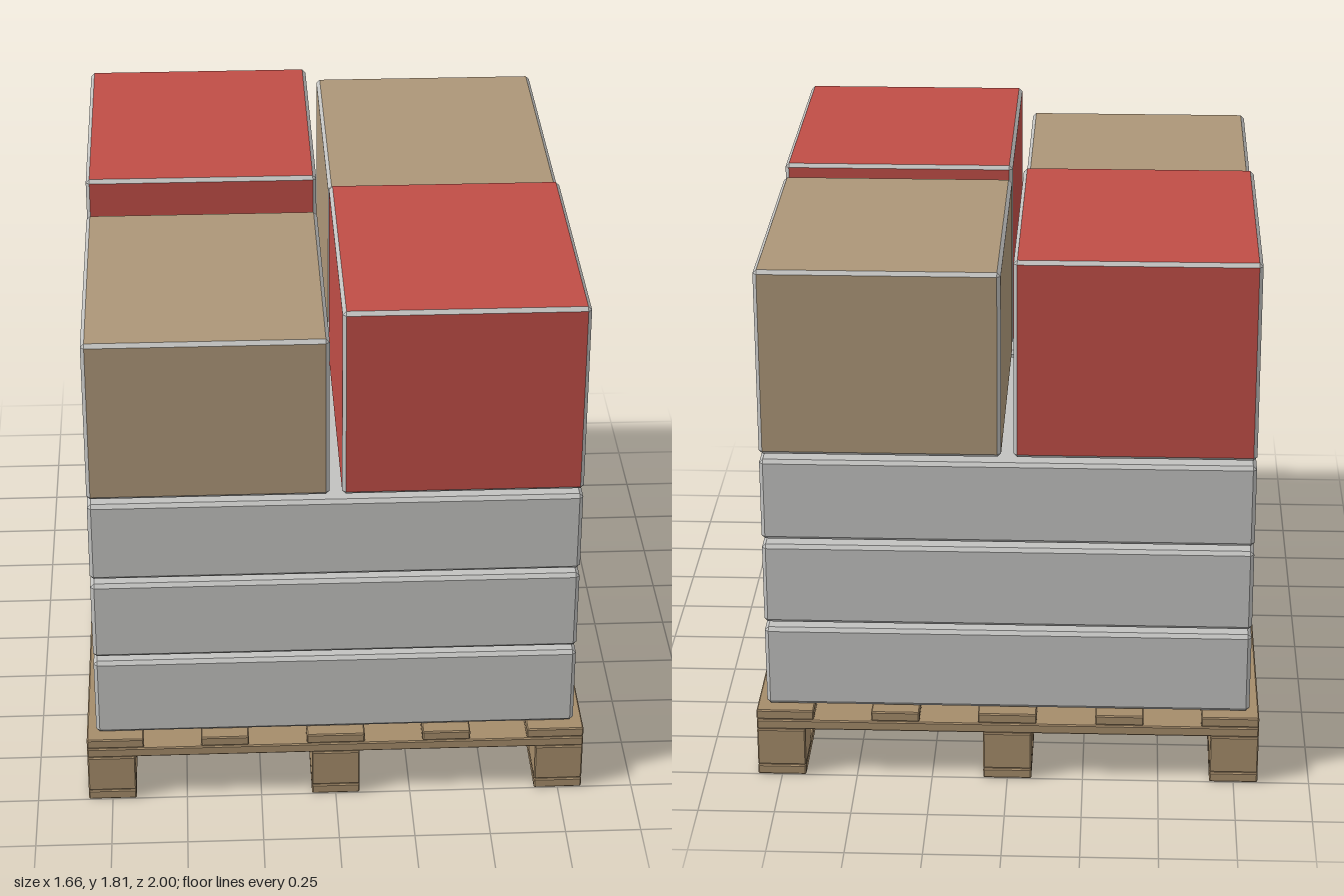
import * as THREE from 'three';

const mat = (name, color) => new THREE.MeshStandardMaterial({ name, color });

// Box with narrow chamfers: group 0 = flat faces, group 1 = chamfers
function chamferBox(size, b) {
  const geo = new THREE.BoxGeometry(...size, 3, 3, 3);
  const p = geo.attributes.position;
  for (let i = 0; i < p.count; i++) {
    const v = [p.getX(i), p.getY(i), p.getZ(i)];
    const outer = v.map((c, k) => Math.abs(c) > size[k] / 2 - 1e-4);
    const n = outer.filter(Boolean).length;
    const inset = [0, 0, b / 2, (b * 2) / 3][n];
    p.setXYZ(i, ...v.map((c, k) => Math.sign(c) * (size[k] / 2 - (outer[k] ? inset : b))));
  }
  const flat = geo.toNonIndexed();
  flat.computeVertexNormals();
  flat.clearGroups();
  // each side is a 3 x 3 grid whose middle cell is the flat face
  for (let s = 0; s < 6; s++) {
    flat.addGroup(s * 54, 24, 1);
    flat.addGroup(s * 54 + 24, 6, 0);
    flat.addGroup(s * 54 + 30, 24, 1);
  }
  return flat;
}

// Adds a box given by its limits on each axis
function addBox(parent, name, [x0, x1], [y0, y1], [z0, z1], face, edge, bevel) {
  const geo = chamferBox([x1 - x0, y1 - y0, z1 - z0], bevel);
  const mesh = new THREE.Mesh(geo, [face, edge]);
  mesh.position.set((x0 + x1) / 2, (y0 + y1) / 2, (z0 + z1) / 2);
  mesh.name = name;
  parent.add(mesh);
}

export function createModel() {
  const wood = mat('palletWood', 0xa58c6a);
  const grey = mat('lightGrey', 0xc1c1bf);
  const red = mat('red', 0xbf4d46);
  const tan = mat('cardboardTan', 0xac9678);

  const model = new THREE.Group();
  model.name = 'loadedPallet';
  const pallet = new THREE.Group();
  pallet.name = 'pallet';
  const load = new THREE.Group();
  load.name = 'load';
  model.add(pallet, load);
  const plank = (name, x, y, z) => addBox(pallet, name, x, y, z, wood, wood, 0.004);

  // Skids with three blocks on each
  for (const x of [[-0.83, -0.67], [-0.08, 0.08], [0.67, 0.83]]) {
    plank('skid', x, [0, 0.034], [-1, 1]);
    for (const z of [[-1, -0.84], [-0.115, 0.115], [0.84, 1]]) {
      plank('block', x, [0.036, 0.167], z);
    }
  }
  // Cross boards
  for (const z of [[-1, -0.84], [-0.08, 0.08], [0.84, 1]]) {
    plank('crossBoard', [-0.83, 0.83], [0.169, 0.203], z);
  }
  // Deck boards, wide and narrow in turn
  for (const x of [[-0.83, -0.64], [-0.45, -0.29], [-0.097, 0.097], [0.29, 0.45], [0.64, 0.83]]) {
    plank('deckBoard', x, [0.205, 0.239], [-1, 1]);
  }

  const front = [0.02, 0.965];
  const back = [-0.965, -0.02];
  const left = [0.02, 0.798];
  const right = [-0.798, -0.02];

  // Three layers of long crates, two per layer
  for (let i = 0; i < 3; i++) {
    const y = 0.244 + i * 0.3;
    for (const z of [front, back]) {
      addBox(load, 'longCrate', [-0.798, 0.798], [y, y + 0.28], z, grey, grey, 0.012);
    }
  }
  // Four top boxes with grey edging
  for (const [name, x, z, top, face] of [
    ['frontRightBox', right, front, 1.705, tan],
    ['frontLeftBox', left, front, 1.8, red],
    ['backRightBox', right, back, 1.812, red],
    ['backLeftBox', left, back, 1.77, tan],
  ]) {
    addBox(load, name, x, [1.144, top], z, face, grey, 0.012);
  }
  return model;
}
